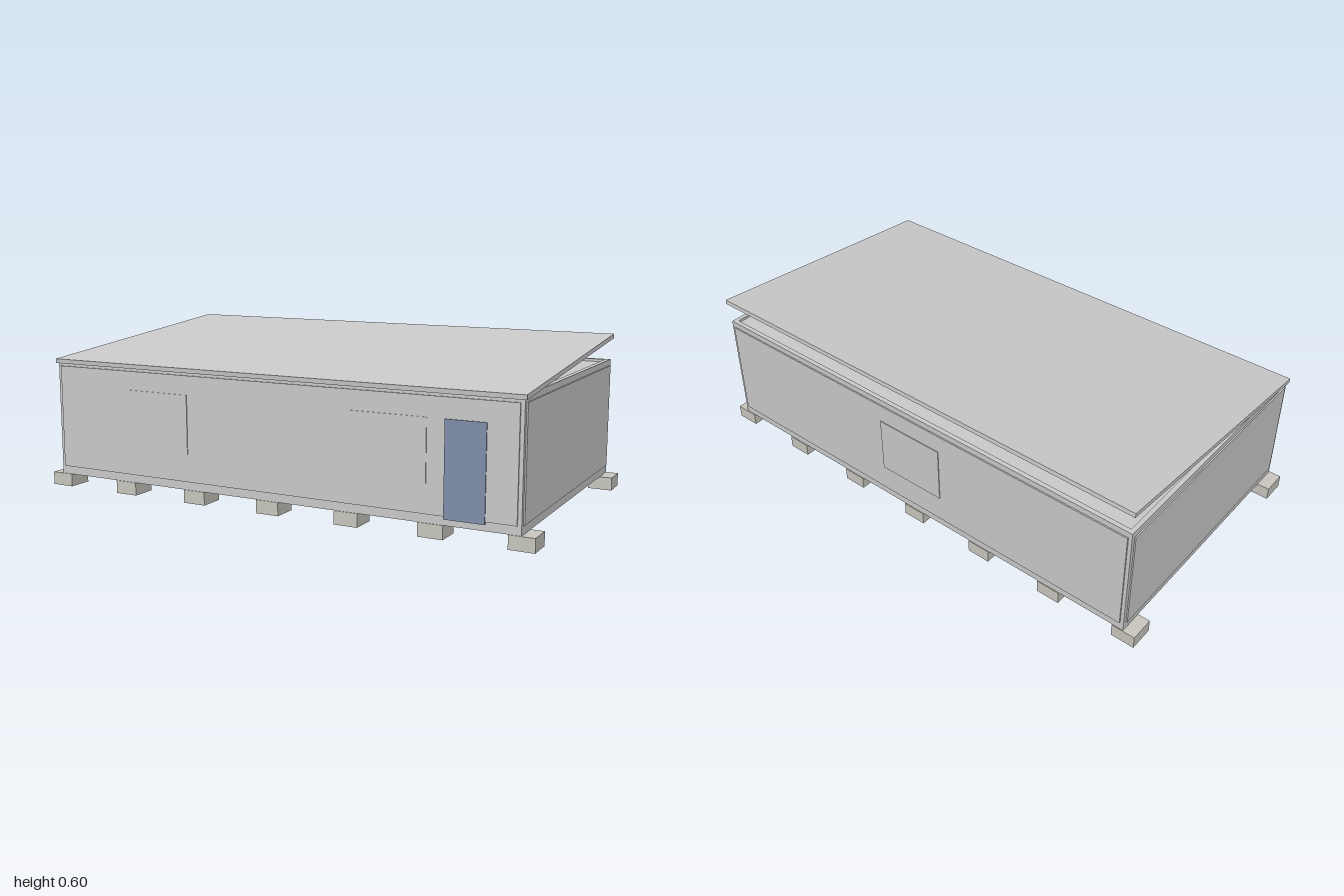
import * as THREE from 'three';

const grey = new THREE.MeshStandardMaterial({ color: 0xcccccc });
const blockMat = new THREE.MeshStandardMaterial({ color: 0xcac8c0 });
const floorMat = new THREE.MeshStandardMaterial({ color: 0xcbc4b0 });
const doorMat = new THREE.MeshStandardMaterial({ color: 0x828fad });

// Box given by its lower and upper bounds on each axis
function box(parent, name, [x0, x1], [y0, y1], [z0, z1], material = grey) {
  const mesh = new THREE.Mesh(new THREE.BoxGeometry(x1 - x0, y1 - y0, z1 - z0), material);
  mesh.name = name;
  mesh.position.set((x0 + x1) / 2, (y0 + y1) / 2, (z0 + z1) / 2);
  parent.add(mesh);
  return mesh;
}

// Bounds of a strip that runs inward from the outer face on one side
const strip = (side, outer, depth) =>
  side > 0 ? [outer - depth, outer] : [-outer, -outer + depth];

export function createModel() {
  const model = new THREE.Group();
  model.name = 'modularCabin';
  const X = 0.952, Z = 0.517, bottom = 0.05, top = 0.505;
  const post = 0.018, sill = 0.082, head = 0.482;

  // Two rows of foundation blocks
  const foundation = new THREE.Group();
  foundation.name = 'foundationBlocks';
  for (const side of [-1, 1]) {
    for (let i = 0; i < 7; i++) {
      const x = -0.954 + i * 0.318;
      box(foundation, 'foundationBlock', [x - 0.046, x + 0.046], [0, bottom], strip(side, 0.52, 0.096), blockMat);
    }
  }

  // Frame of corner posts, base beams and top beams
  const frame = new THREE.Group();
  frame.name = 'frame';
  for (const sx of [-1, 1]) {
    for (const sz of [-1, 1]) {
      box(frame, 'cornerPost', strip(sx, X, post), [bottom, top], strip(sz, Z, post));
    }
  }
  for (const [name, y] of [['baseBeam', [bottom, sill]], ['topBeam', [head, top]]]) {
    for (const side of [-1, 1]) {
      box(frame, name, [-X + post, X - post], y, strip(side, Z, post));
      box(frame, name, strip(side, X, post), y, [-Z + post, Z - post]);
    }
  }

  // Floor and ceiling between the beams
  box(model, 'floor', [-X + post, X - post], [bottom + 0.001, sill], [-Z + post, Z - post], floorMat);
  box(model, 'ceiling', [-X + post, X - post], [head, 0.495], [-Z + post, Z - post]);

  // Wall panels, slightly proud of the frame
  const walls = new THREE.Group();
  walls.name = 'walls';
  for (const side of [-1, 1]) {
    box(walls, 'longWall', [-0.938, 0.938], [sill, head], strip(side, 0.522, 0.02));
    box(walls, 'endWall', strip(side, 0.957, 0.02), [sill, head], [-0.502, 0.502]);
  }

  // Windows: two at the front, one at the back
  for (const [x, side] of [[-0.48, 1], [0.48, 1], [0, -1]]) {
    box(model, 'window', [x - 0.14, x + 0.14], [0.187, 0.41], strip(side, 0.525, 0.006));
  }

  // Door near the left front corner
  box(model, 'door', [0.685, 0.83], [0.073, 0.41], [0.51, 0.526], doorMat);

  // Sloping roof slab, lower at the front
  const slope = Math.atan2(0.096, 1.05);
  const roof = box(model, 'roof', [-0.96, 0.96], [0.54, 0.557], [-0.527, 0.527]);
  roof.rotation.x = slope;

  model.add(foundation, frame, walls);
  return model;
}
